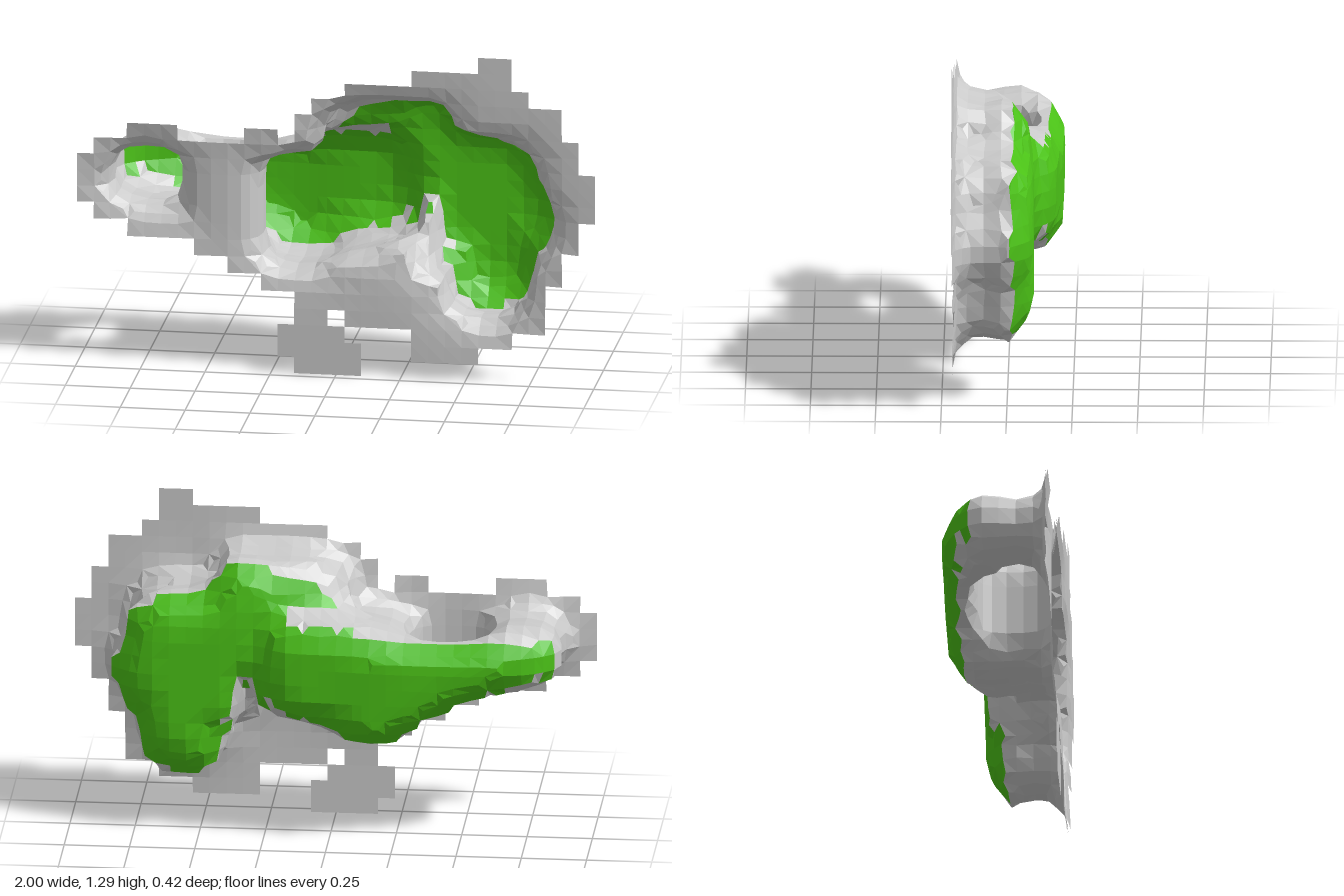
import * as THREE from 'three';

const S = 2 / 31; // terrain cell size
const Z0 = -0.33, NX = 33, NY = 22, NZ = 10;

// Ragged ground sheet: first and last column of each run, rows from the top down
const ROWS = [
  [24, 25], [20, 25], [16, 26], [14, 28], [13, 28], [3, 5, 10, 11, 13, 29], [1, 29],
  [0, 30], [0, 30], [0, 30], [1, 29], [3, 29], [7, 28], [9, 28], [11, 27], [13, 27],
  [13, 14, 16, 27], [12, 15, 20, 25], [12, 16, 20, 23], [13, 16],
];
// Outline of the high ridge, which also carries the arch
const RIDGE = [
  [-0.86, 0.68], [-0.79, 0.64], [-0.62, 0.63], [-0.45, 0.55], [-0.28, 0.45], [-0.22, 0.41],
  [-0.08, 0.41], [0, 0.46], [0.15, 0.49], [0.27, 0.53], [0.29, 0.65], [0.26, 0.78], [0.21, 0.88],
  [0, 0.88], [-0.2, 0.84], [-0.28, 0.81], [-0.45, 0.81], [-0.7, 0.85], [-0.83, 0.84], [-0.88, 0.76],
];
// Outline of the lower plateau
const PLATEAU = [
  [-0.05, 0.8], [-0.06, 0.96], [0, 1.04], [0.1, 1.07], [0.4, 1.07], [0.46, 0.95], [0.68, 0.93],
  [0.75, 0.86], [0.78, 0.75], [0.83, 0.65], [0.81, 0.55], [0.74, 0.45], [0.72, 0.33], [0.65, 0.24],
  [0.5, 0.24], [0.42, 0.3], [0.42, 0.4], [0.3, 0.44], [0.28, 0.55], [0.1, 0.6],
];

const step = THREE.MathUtils.smoothstep;

// Signed distance to an outline, positive inside
function inside(poly, x, y) {
  let best = Infinity, sign = -1;
  poly.forEach(([ax, ay], n) => {
    const [bx, by] = poly[(n + 1) % poly.length];
    const ex = bx - ax, ey = by - ay, px = x - ax, py = y - ay;
    const t = THREE.MathUtils.clamp((px * ex + py * ey) / (ex * ex + ey * ey), 0, 1);
    best = Math.min(best, Math.hypot(px - t * ex, py - t * ey));
    if ((ay > y) !== (by > y) && x < ax + ((y - ay) / ey) * ex) sign = -sign;
  });
  return sign * best;
}

// Rock density: positive in solid rock, negative in the air (rock rises towards -z)
function density(x, y, z) {
  const flare = z > 0.1 ? 4.5 * (z - 0.1) ** 2 : Math.min(0.022, 0.22 * (0.1 - z));
  const rough = 0.007 * Math.sin(x * 23 + z * 17) * Math.sin(y * 19 - z * 29);

  const dr = inside(RIDGE, x, y);
  const ridgeTop = -0.21 + 0.025 * step(x, -0.3, 0.1) + 0.02 * step(x, 0.12, 0.28)
    + 0.06 * (1 - step(x, -0.9, -0.6)) + 0.8 * Math.max(0, 0.07 - dr);
  let ridge = Math.min(dr + flare + rough, z - ridgeTop);

  // Arch through the ridge: a rounded tunnel running along y
  const qx = Math.abs(x + 0.455) - 0.06, qz = Math.abs(z - 0.055) - 0.05;
  const arch = Math.hypot(Math.max(qx, 0), Math.max(qz, 0)) + Math.min(Math.max(qx, qz), 0) - 0.097;
  ridge = Math.min(ridge, arch);

  // The plateau drops to a ledge in the cleft beside the ridge
  const dp = inside(PLATEAU, x, y);
  const cleft = (1 - step(x, 0.33, 0.39)) * (1 - step(y, 0.55, 0.68));
  const plateauTop = -0.1 + 0.06 * (1 - step(x, 0, 0.4)) + 0.11 * cleft + 0.75 * Math.max(0, 0.09 - dp);
  const plateau = Math.min(dp + flare + rough, z - plateauTop);

  // Ground rises a little towards the rock
  const ground = z - 0.212 + 0.01 * step(Math.max(dr, dp), -0.2, 0);
  return Math.max(ground, ridge, plateau);
}

function onSheet(i, j) {
  const runs = ROWS[20 - j];
  if (!runs) return false;
  for (let n = 0; n < runs.length; n += 2) if (i - 1 >= runs[n] && i - 1 <= runs[n + 1]) return true;
  return false;
}

// Quads of the rock surface, sorted into ground, rock and grass
function buildSurface() {
  const at = (i, j, k) => [-1 + (i - 0.5) * S, (j - 0.5) * S, Z0 + k * S];
  const id = (i, j, k) => (k * NY + j) * NX + i;
  const f = new Float32Array(NX * NY * NZ);
  const each = (fn) => {
    for (let k = 0; k < NZ; k++) for (let j = 0; j < NY; j++) for (let i = 0; i < NX; i++) fn([i, j, k]);
  };
  each((p) => { f[id(...p)] = density(...at(...p)); });

  // One vertex per cell, at the mean of the surface crossings on its edges
  const cellVertex = (c) => {
    const sum = new THREE.Vector3();
    let count = 0;
    for (let a = 0; a < 3; a++) for (let m = 0; m < 4; m++) {
      const p = [...c];
      p[(a + 1) % 3] += m & 1;
      p[(a + 2) % 3] += m >> 1;
      const q = [...p];
      q[a]++;
      const fp = f[id(...p)], fq = f[id(...q)];
      if ((fp > 0) === (fq > 0)) continue;
      sum.add(new THREE.Vector3(...at(...p)).lerp(new THREE.Vector3(...at(...q)), fp / (fp - fq)));
      count++;
    }
    return sum.divideScalar(count);
  };

  const parts = { groundSheet: [], rockWalls: [], grassTops: [] };
  each((p) => {
    for (let a = 0; a < 3; a++) {
      const u = (a + 1) % 3, v = (a + 2) % 3;
      const q = [...p];
      q[a]++;
      if (q[0] >= NX || q[1] >= NY || q[2] >= NZ || p[u] < 1 || p[v] < 1) continue;
      if (p[u] >= [NX, NY, NZ][u] - 1 || p[v] >= [NX, NY, NZ][v] - 1) continue;
      const solid = f[id(...p)] > 0;
      if (solid === f[id(...q)] > 0) continue;
      if (a === 2 && !onSheet(p[0], p[1])) continue;
      const quad = [[0, 0], [1, 0], [1, 1], [0, 1]].map(([du, dv]) => {
        const c = [...p];
        c[u] -= du;
        c[v] -= dv;
        return cellVertex(c);
      });
      if (!solid) quad.reverse();
      const [A, B, C, D] = quad;
      const normal = C.clone().sub(A).cross(D.clone().sub(B)).normalize();
      const depth = (A.z + B.z + C.z + D.z) / 4;
      const grassy = normal.z < -0.68 && depth < -0.02 && A.x > -0.86;
      const name = depth > 0.185 ? 'groundSheet' : grassy ? 'grassTops' : 'rockWalls';
      for (const w of [A, B, C, A, C, D]) parts[name].push(w.x, w.y, w.z);
    }
  });
  return parts;
}

export function createModel() {
  const group = new THREE.Group();
  group.name = 'archedRockTerrain';
  for (const [name, points] of Object.entries(buildSurface())) {
    const geometry = new THREE.BufferGeometry();
    geometry.setAttribute('position', new THREE.Float32BufferAttribute(points, 3));
    geometry.computeVertexNormals();
    const material = new THREE.MeshStandardMaterial({
      color: name === 'grassTops' ? 0x4cc417 : 0xcccccc, flatShading: true, side: THREE.DoubleSide,
    });
    const mesh = new THREE.Mesh(geometry, material);
    mesh.name = name;
    group.add(mesh);
  }
  return group;
}
